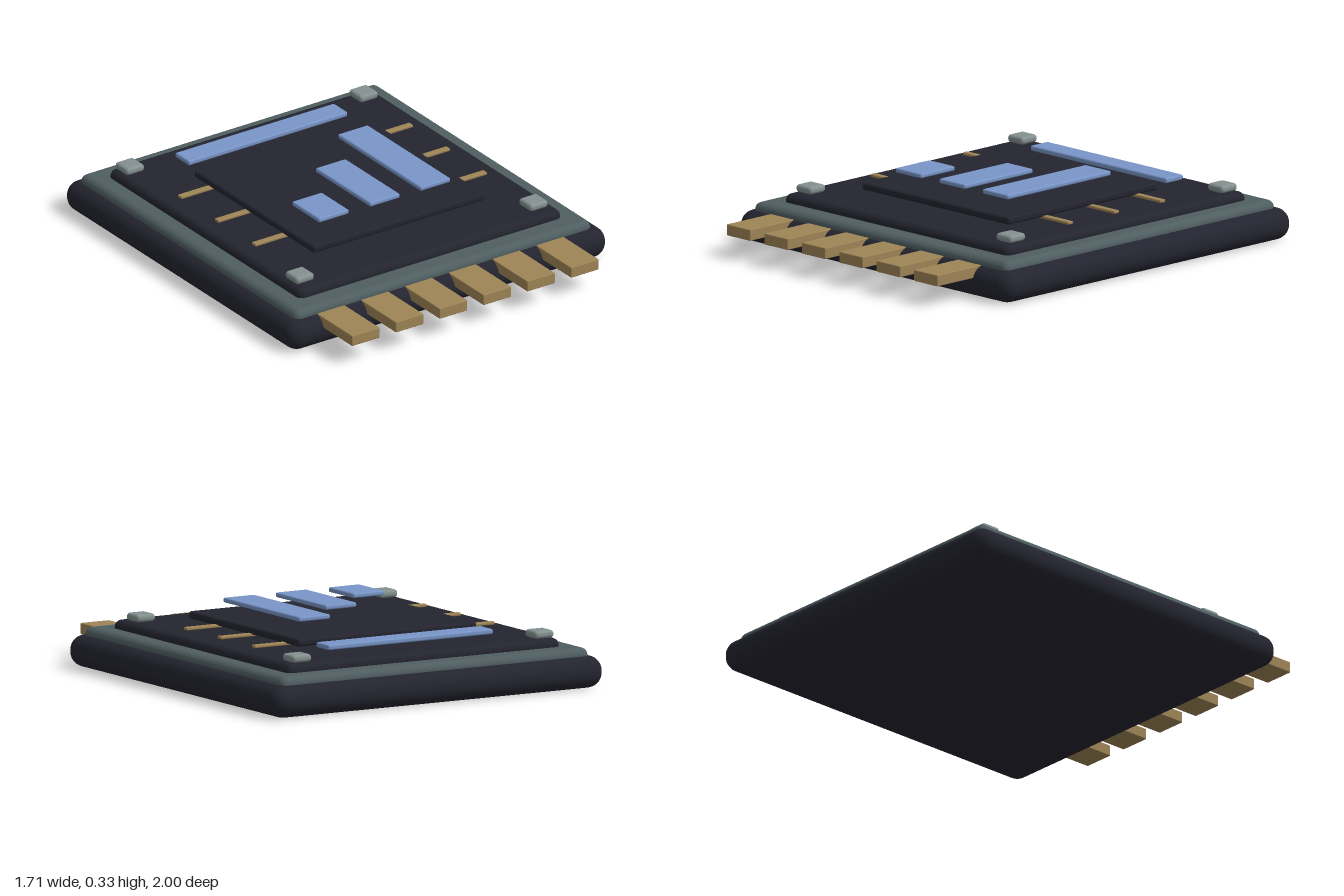
import * as THREE from 'three';
import { RoundedBoxGeometry } from 'three/addons/geometries/RoundedBoxGeometry.js';

const mat = (name, color) => {
  const m = new THREE.MeshStandardMaterial({ color });
  m.name = name;
  return m;
};

export function createModel() {
  const model = new THREE.Group();
  model.name = 'microchipModule';

  const dark = mat('darkCasing', 0x242430);
  const slate = mat('slateFrame', 0x4f5e61);
  const grey = mat('greyStud', 0x849190);
  const gold = mat('goldContact', 0x9f8557);
  const blue = mat('blueDisplay', 0x7996c8);

  // Box given by its limits on each axis; radius 0 keeps sharp edges
  const block = (name, material, [x0, x1], [y0, y1], [z0, z1], radius = 0, segments = 4) => {
    const size = [x1 - x0, y1 - y0, z1 - z0];
    const geometry = radius
      ? new RoundedBoxGeometry(...size, segments, radius)
      : new THREE.BoxGeometry(...size);
    const mesh = new THREE.Mesh(geometry, material);
    mesh.name = name;
    mesh.position.set((x0 + x1) / 2, (y0 + y1) / 2, (z0 + z1) / 2);
    model.add(mesh);
  };

  // Stacked body
  block('base', dark, [-0.855, 0.855], [0, 0.143], [-1, 0.783], 0.068, 5);
  block('frame', slate, [-0.8, 0.795], [0.105, 0.178], [-0.945, 0.73], 0.034);
  block('panel', dark, [-0.708, 0.704], [0.145, 0.216], [-0.852, 0.63], 0.033);
  block('chip', dark, [-0.465, 0.46], [0.232, 0.266], [-0.537, 0.385], 0.012, 2);

  // Bar chart hovering above the chip
  [[-0.36, 0.066], [-0.086, 0.145 * -1], [0.185, -0.362]].forEach(([x, z], i) =>
    block(`chartBar${i + 1}`, blue, [x, x + 0.162], [0.309, 0.331], [z, 0.278], 0.008, 2));

  // Status strip along the back
  block('statusStrip', blue, [-0.43, 0.424], [0.24, 0.264], [-0.732, -0.625], 0.008, 2);

  // Fine leads on both sides of the chip
  for (const z of [-0.43, -0.145, 0.14]) {
    block('leftLead', gold, [0.43, 0.618], [0.224, 0.238], [z, z + 0.031], 0.005, 2);
    block('rightLead', gold, [-0.627, -0.435], [0.224, 0.238], [z, z + 0.031], 0.005, 2);
  }

  // Corner studs
  for (const x of [-0.686, 0.569])
    for (const z of [-0.83, 0.478])
      block('cornerStud', grey, [x, x + 0.097], [0.216, 0.251], [z, z + 0.097], 0.015, 3);

  // Row of edge contacts
  for (let i = 0; i < 6; i++) {
    const x = -0.686 + i * 0.2352;
    block('edgeContact', gold, [x, x + 0.149], [0.092, 0.143], [0.725, 1], 0.004, 1);
  }

  return model;
}
